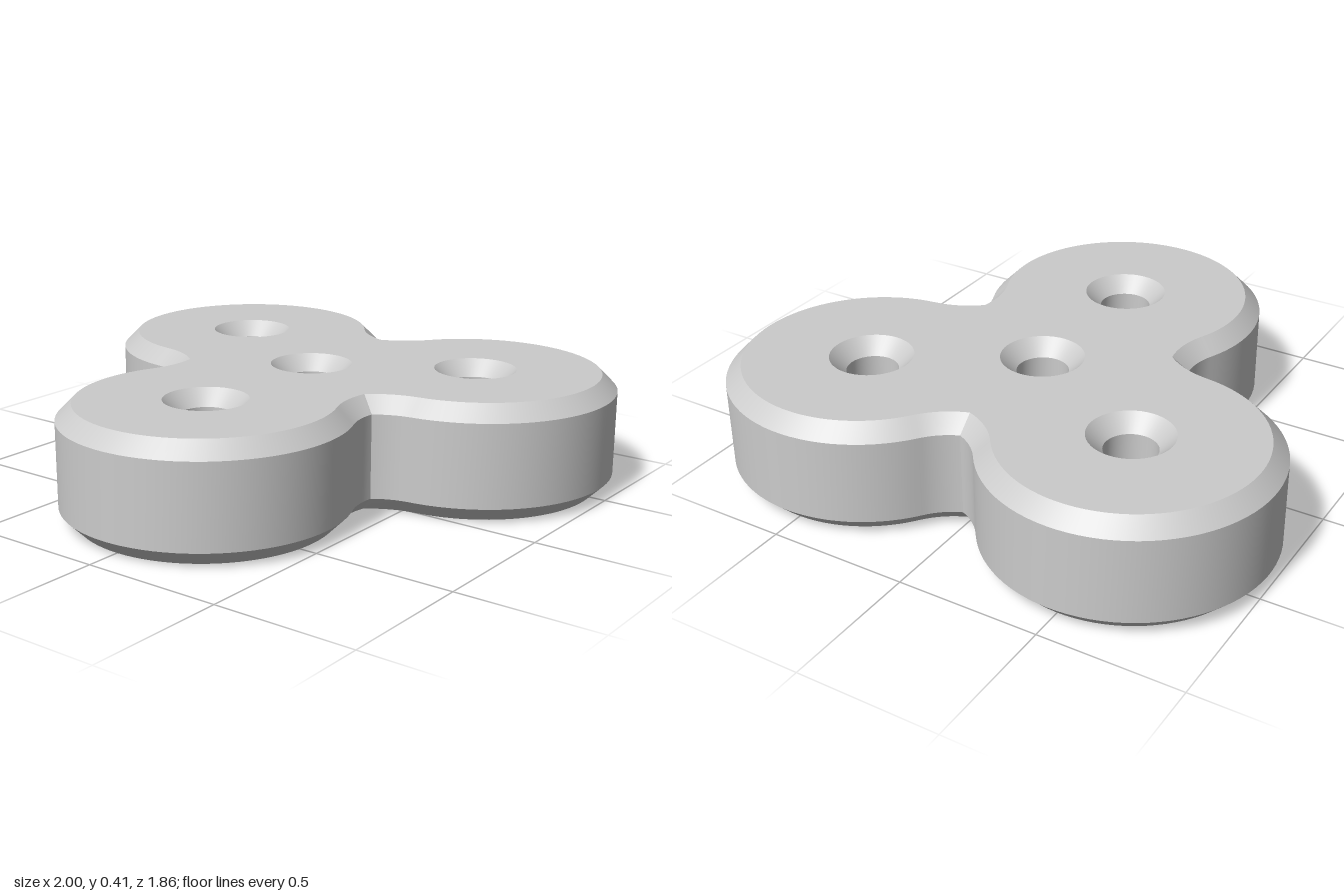
import * as THREE from 'three';
import { toCreasedNormals } from 'three/addons/utils/BufferGeometryUtils.js';

const HEIGHT = 0.405, CHAMFER = 0.055;
const LOBE_R = 0.495, LOBE_DIST = 0.583, NOTCH_DIST = 0.5, HUB = new THREE.Vector2(0, 0.146);
const HOLE_R = 0.09, SINK_R = 0.145;
const rad = THREE.MathUtils.degToRad;
const polar = (r, a) => new THREE.Vector2(r * Math.cos(a), r * Math.sin(a));

// Points along an arc, end point included
function arc(center, r, a0, a1, n) {
  return Array.from({ length: n + 1 }, (_, i) => polar(r, a0 + (a1 - a0) * i / n).add(center));
}

// Three-lobed outline, counter-clockwise, shrunk by an inset (2D y points to the back)
function outline(inset) {
  const t = rad(114), u = polar(1, t);
  const lobe = new THREE.Vector2(LOBE_DIST, 0);
  const w = lobe.clone().addScaledVector(u, LOBE_R).sub(polar(NOTCH_DIST, rad(60)));
  const r = -w.lengthSq() / (2 * u.dot(w));
  const fillet = lobe.clone().addScaledVector(u, LOBE_R + r);
  const rho = r + inset;
  const end = rad(-30) - Math.acos(-fillet.dot(polar(1, rad(-30))) / rho);
  const after = arc(fillet, rho, t - Math.PI, end, 10);
  const before = after.map(p => new THREE.Vector2(p.x, -p.y)).reverse();
  const one = [...before, ...arc(lobe, LOBE_R - inset, -t, t, 56).slice(1, -1), ...after.slice(0, -1)];
  const origin = new THREE.Vector2();
  return [30, 150, 270].flatMap(a => one.map(p => p.clone().rotateAround(origin, rad(a)).add(HUB)));
}

// Clockwise circle, so that its wall faces the hole's axis
const holeRing = (c, r) => arc(c, r, 0, -2 * Math.PI, 48).slice(0, -1);

// Wall through a stack of closed rings, given as [points, y] from bottom to top
function wall(rings) {
  const n = rings[0][0].length, pos = [], index = [];
  rings.forEach(([pts, y]) => pts.forEach(p => pos.push(p.x, y, -p.y)));
  for (let k = 0; k < rings.length - 1; k++) {
    for (let i = 0; i < n; i++) {
      const a = k * n + i, b = k * n + (i + 1) % n;
      index.push(a, b, b + n, a, b + n, a + n);
    }
  }
  const geo = new THREE.BufferGeometry();
  geo.setAttribute('position', new THREE.Float32BufferAttribute(pos, 3));
  geo.setIndex(index);
  return toCreasedNormals(geo, 0.4);
}

export function createModel() {
  const group = new THREE.Group();
  const material = new THREE.MeshStandardMaterial({ color: 0xcccccc });
  const add = (name, geo) => {
    const mesh = new THREE.Mesh(geo, material);
    mesh.name = name;
    group.add(mesh);
  };

  // Hole centres: the hub and each lobe
  const centers = [HUB, ...[30, 150, 270].map(a => polar(LOBE_DIST, rad(a)).add(HUB))];
  // Chamfered stack of rings, shared by the rim and the countersunk holes
  const stack = (edge, middle) => wall([
    [edge, 0], [middle, CHAMFER], [middle, HEIGHT - CHAMFER], [edge, HEIGHT],
  ]);

  // Outer rim with chamfered edges
  add('rim', stack(outline(CHAMFER), outline(0)));

  // Through holes, countersunk on both sides
  centers.forEach((c, i) => add(i ? 'lobeHole' + i : 'hubHole', stack(holeRing(c, SINK_R), holeRing(c, HOLE_R))));

  // Flat faces; the outline is symmetric, so the bottom is the top turned over
  const shape = new THREE.Shape(outline(CHAMFER));
  shape.holes = centers.map(c => new THREE.Path(holeRing(c, SINK_R)));
  const top = new THREE.ShapeGeometry(shape).rotateX(-Math.PI / 2);
  add('topFace', top.clone().translate(0, HEIGHT, 0));
  add('bottomFace', top.clone().rotateZ(Math.PI));

  return group;
}
